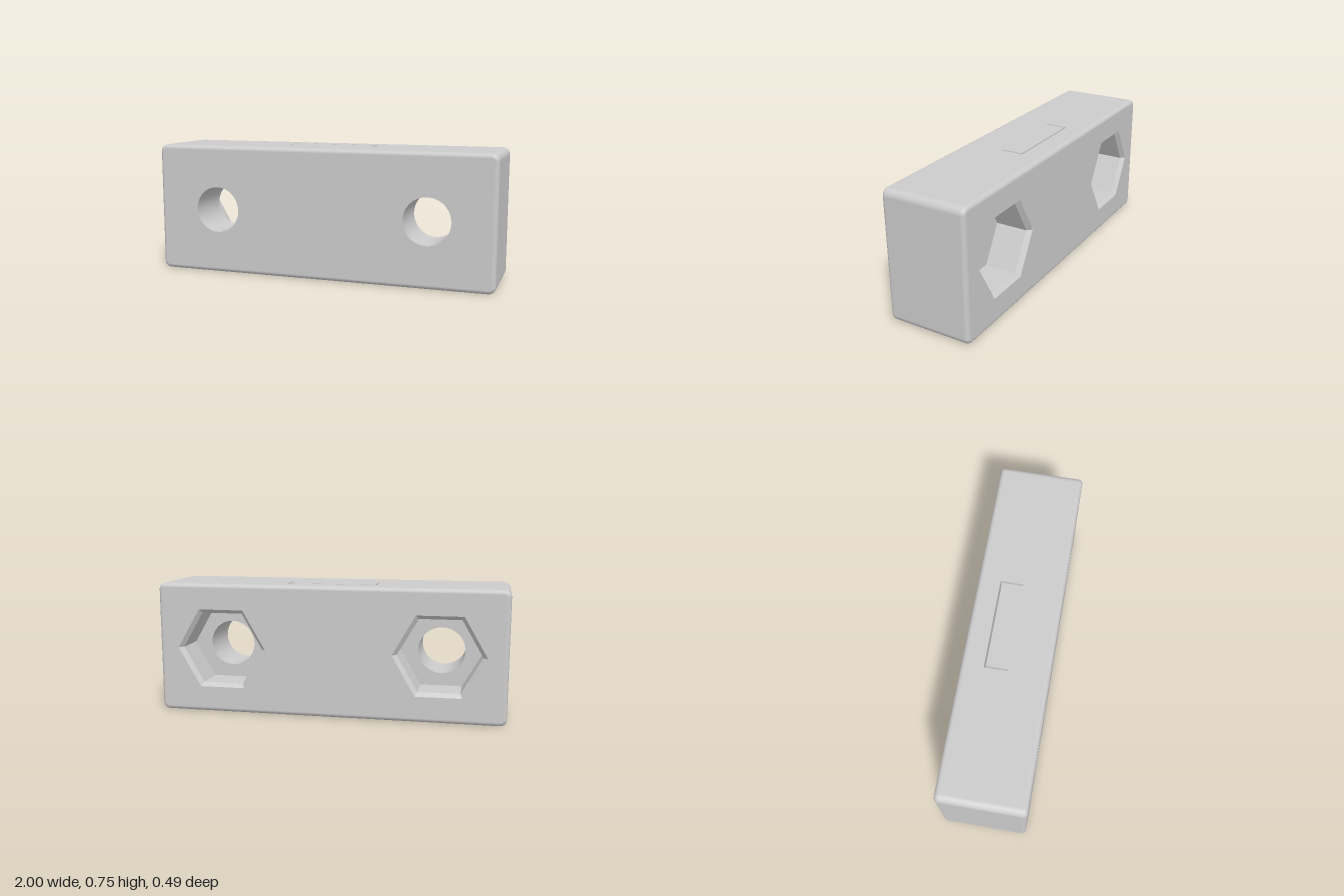
import * as THREE from 'three';

const HX = 1, HY = 0.375, HZ = 0.243;   // half sizes of the block
const R = 0.04, FILLET = 0.025;         // long corner radius, front/back edge radius
const HOLE_X = 0.625, BORE = 0.133;
const HEX_RIM = 0.262, HEX = 0.237, FLOOR_Z = -HZ + 0.21;

const grey = new THREE.MeshStandardMaterial({ color: 0xcccccc });
const thin = new THREE.MeshStandardMaterial({ color: 0xcccccc, side: THREE.DoubleSide });

// Corner arc samples of the rounded rectangle: arc centre plus outward direction
function outline() {
  const list = [], steps = 8;
  [[1, 1], [-1, 1], [-1, -1], [1, -1]].forEach(([sx, sy], q) => {
    for (let i = 0; i <= steps; i++) {
      const a = (q + i / steps) * Math.PI / 2;
      list.push({ cx: sx * (HX - R), cy: sy * (HY - R), nx: Math.cos(a), ny: Math.sin(a), last: i === steps, q });
    }
  });
  return list;
}

// Rounded skin around the block; the flat top and bottom are left open for slotted panels
function skinGeometry() {
  const ring = outline(), n = ring.length, rows = [];
  for (const s of [-1, 1])
    for (let i = 0; i <= 6; i++) rows.push({ s, t: (s < 0 ? i - 6 : i) / 6 * Math.PI / 2 });
  const pos = [], nor = [], idx = [];
  for (const { s, t } of rows)
    for (const p of ring) {
      const r = R - FILLET + FILLET * Math.cos(t);
      pos.push(p.cx + p.nx * r, p.cy + p.ny * r, s * (HZ - FILLET) + FILLET * Math.sin(t));
      nor.push(p.nx * Math.cos(t), p.ny * Math.cos(t), Math.sin(t));
    }
  for (let j = 0; j < rows.length - 1; j++)
    for (let i = 0; i < n; i++) {
      if (j === 6 && ring[i].last && ring[i].q % 2 === 0) continue;
      const k = (i + 1) % n, a = j * n + i, b = j * n + k;
      idx.push(a, b, b + n, a, b + n, a + n);
    }
  const g = new THREE.BufferGeometry();
  g.setAttribute('position', new THREE.Float32BufferAttribute(pos, 3));
  g.setAttribute('normal', new THREE.Float32BufferAttribute(nor, 3));
  g.setIndex(idx);
  return g;
}

const circle = (x, r) => new THREE.Path().absarc(x, 0, r, 0, Math.PI * 2, true);
const hexPoints = (x, r) => Array.from({ length: 6 }, (_, i) =>
  new THREE.Vector2(x + r * Math.cos(i * Math.PI / 3), r * Math.sin(i * Math.PI / 3)));

// Flat front or back panel with its two openings
function panelGeometry(makeHole) {
  const r = R - FILLET;
  const shape = new THREE.Shape(outline().map(p => new THREE.Vector2(p.cx + p.nx * r, p.cy + p.ny * r)));
  shape.holes.push(makeHole(-HOLE_X), makeHole(HOLE_X));
  return new THREE.ShapeGeometry(shape, 32);
}

// Bracket-shaped slit in x, z
const SX = 0.258, Z0 = -0.118, Z1 = 0.013, W = 0.01;
const slit = [[-SX, Z1], [-SX, Z0], [SX, Z0], [SX, Z1],
  [SX - W, Z1], [SX - W, Z0 + W], [-SX + W, Z0 + W], [-SX + W, Z1]];

// Flat top (dir 1) or bottom (dir -1) with the slit cut out
function capGeometry(dir) {
  const w = HX - R, d = HZ - FILLET;
  const shape = new THREE.Shape([[-w, -d], [w, -d], [w, d], [-w, d]].map(p => new THREE.Vector2(...p)));
  shape.holes.push(new THREE.Path(slit.map(([x, z]) => new THREE.Vector2(x, -dir * z))));
  return new THREE.ShapeGeometry(shape).rotateX(-dir * Math.PI / 2).translate(0, dir * HY, 0);
}

function slitWallGeometry() {
  const pos = [];
  slit.forEach(([x, z], i) => {
    const [u, v] = slit[(i + 1) % slit.length];
    pos.push(x, -HY, z, u, -HY, v, u, HY, v, x, -HY, z, u, HY, v, x, HY, z);
  });
  const g = new THREE.BufferGeometry();
  g.setAttribute('position', new THREE.Float32BufferAttribute(pos, 3));
  g.computeVertexNormals();
  return g;
}

// Inward-facing surface of revolution; profile is [radius, z] from back to front
function recess(profile, sides) {
  const pts = profile.map(([r, z]) => new THREE.Vector2(r, -z));
  return new THREE.LatheGeometry(pts, sides, Math.PI / 2).rotateX(-Math.PI / 2);
}

export function createModel() {
  const model = new THREE.Group();
  model.name = 'block';
  const body = new THREE.Group();
  body.position.y = HY;
  model.add(body);
  const add = (name, geometry, material = grey) => {
    const mesh = new THREE.Mesh(geometry, material);
    mesh.name = name;
    body.add(mesh);
    return mesh;
  };

  // Outer shell
  add('roundedSkin', skinGeometry());
  add('frontFace', panelGeometry(x => circle(x, BORE)).translate(0, 0, HZ));
  add('backFace', panelGeometry(x => new THREE.Path(hexPoints(x, HEX_RIM))).rotateY(Math.PI).translate(0, 0, -HZ));
  add('topFace', capGeometry(1));
  add('bottomFace', capGeometry(-1));
  add('slitWalls', slitWallGeometry(), thin);

  // Bolt bores and chamfered hexagonal nut pockets
  for (const x of [-HOLE_X, HOLE_X]) {
    add('boltBore', recess([[BORE, FLOOR_Z], [BORE, HZ]], 64)).position.x = x;

    const walls = recess([[HEX_RIM, -HZ], [HEX, -HZ + 0.025], [HEX, FLOOR_Z]], 6).toNonIndexed();
    walls.computeVertexNormals();
    add('nutPocketWalls', walls).position.x = x;

    const floor = new THREE.Shape(hexPoints(0, HEX));
    floor.holes.push(circle(0, BORE));
    add('nutPocketFloor', new THREE.ShapeGeometry(floor, 32).rotateY(Math.PI)).position.set(x, 0, FLOOR_Z);
  }
  return model;
}
